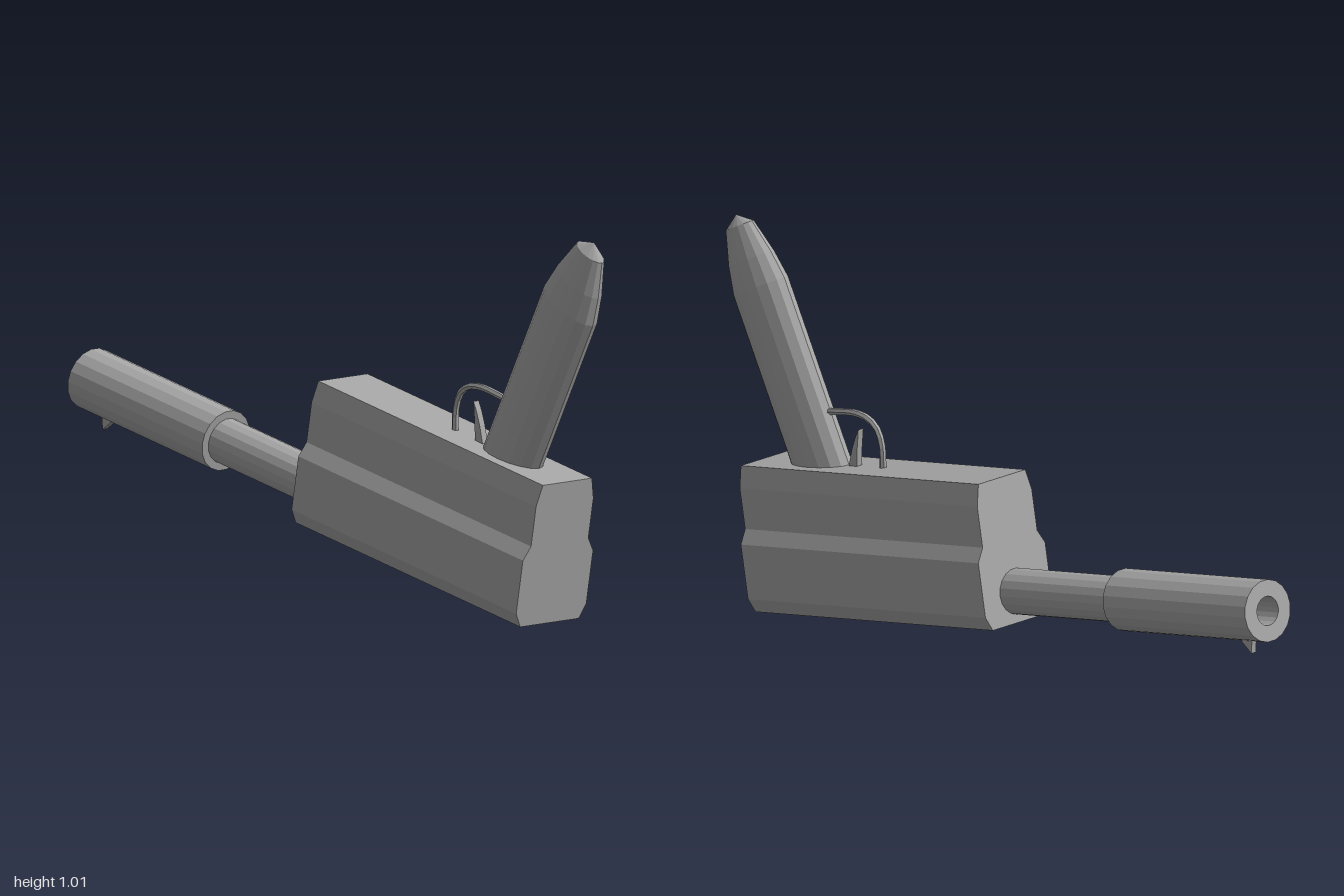
import * as THREE from 'three';

const grey = new THREE.MeshStandardMaterial({ color: 0xa6a6a6 });

// Faceted mesh: every face gets its own normal
function part(name, geometry, parent) {
  const flat = geometry.index ? geometry.toNonIndexed() : geometry;
  flat.computeVertexNormals();
  const mesh = new THREE.Mesh(flat, grey);
  mesh.name = name;
  parent.add(mesh);
  return mesh;
}

const points = (list) => list.map(([x, y]) => new THREE.Vector2(x, y));

// Side outline extruded symmetrically across z
function plate(outline, depth) {
  return new THREE.ExtrudeGeometry(new THREE.Shape(points(outline)), { depth, bevelEnabled: false })
    .translate(0, 0, -depth / 2);
}

export function createModel() {
  const model = new THREE.Group();
  model.name = 'tiltedDevice';

  // Body and barrel share a frame tilted about z
  const tilted = new THREE.Group();
  tilted.name = 'bodyAndBarrel';
  tilted.position.set(-0.08, 0.17, 0);
  tilted.rotation.z = -0.183;
  model.add(tilted);

  // Body: stepped, chamfered section swept along its length
  const half = [[0.1, 0], [0.12, 0.038], [0.12, 0.182], [0.098, 0.218], [0.098, 0.326], [0.084, 0.382]];
  const section = [...half, ...half.map(([x, y]) => [-x, y]).reverse()];
  const body = new THREE.ExtrudeGeometry(new THREE.Shape(points(section)), { depth: 0.885, bevelEnabled: false });
  part('body', body.rotateY(Math.PI / 2), tilted);

  // Thin barrel and thicker hollow sleeve, turned to run toward -x
  const turned = (profile) => new THREE.LatheGeometry(points(profile), 18).rotateZ(Math.PI / 2).translate(0, 0.081, 0);
  part('barrel', turned([[0, -0.02], [0.06, -0.02], [0.06, 0.42], [0, 0.42]]), tilted);
  part('sleeve', turned([[0.058, 0.405], [0.081, 0.405], [0.081, 0.935], [0.038, 0.935], [0.038, 0.45], [0, 0.45]]), tilted);

  // Small fin under the end of the sleeve
  part('sight', plate([[-0.873, 0.012], [-0.861, -0.034], [-0.823, 0.004], [-0.823, 0.012]], 0.016), tilted);

  // Grip: oval column with a bullet-shaped end
  const grip = new THREE.LatheGeometry(points([
    [0, -0.55], [0.097, -0.55], [0.097, 0], [0.081, 0.075], [0.05, 0.165], [0, 0.195],
  ]), 16).scale(1, 1, 0.545);
  const gripMesh = part('grip', grip, model);
  gripMesh.position.set(0.8725, 0.8475, 0);
  gripMesh.rotation.z = -0.485;

  // Guard loop from the body to the grip
  const guardPath = new THREE.CatmullRomCurve3([
    [0.424, 0.45], [0.43, 0.53], [0.45, 0.568], [0.485, 0.586], [0.53, 0.588], [0.585, 0.578], [0.65, 0.562],
  ].map(([x, y]) => new THREE.Vector3(x, y, 0)));
  part('guard', new THREE.TubeGeometry(guardPath, 14, 0.009, 6), model);

  // Curved, pointed trigger
  part('trigger', plate([
    [0.512, 0.44], [0.542, 0.44], [0.53, 0.49], [0.518, 0.525], [0.506, 0.55], [0.51, 0.5],
  ], 0.018), model);

  return model;
}
